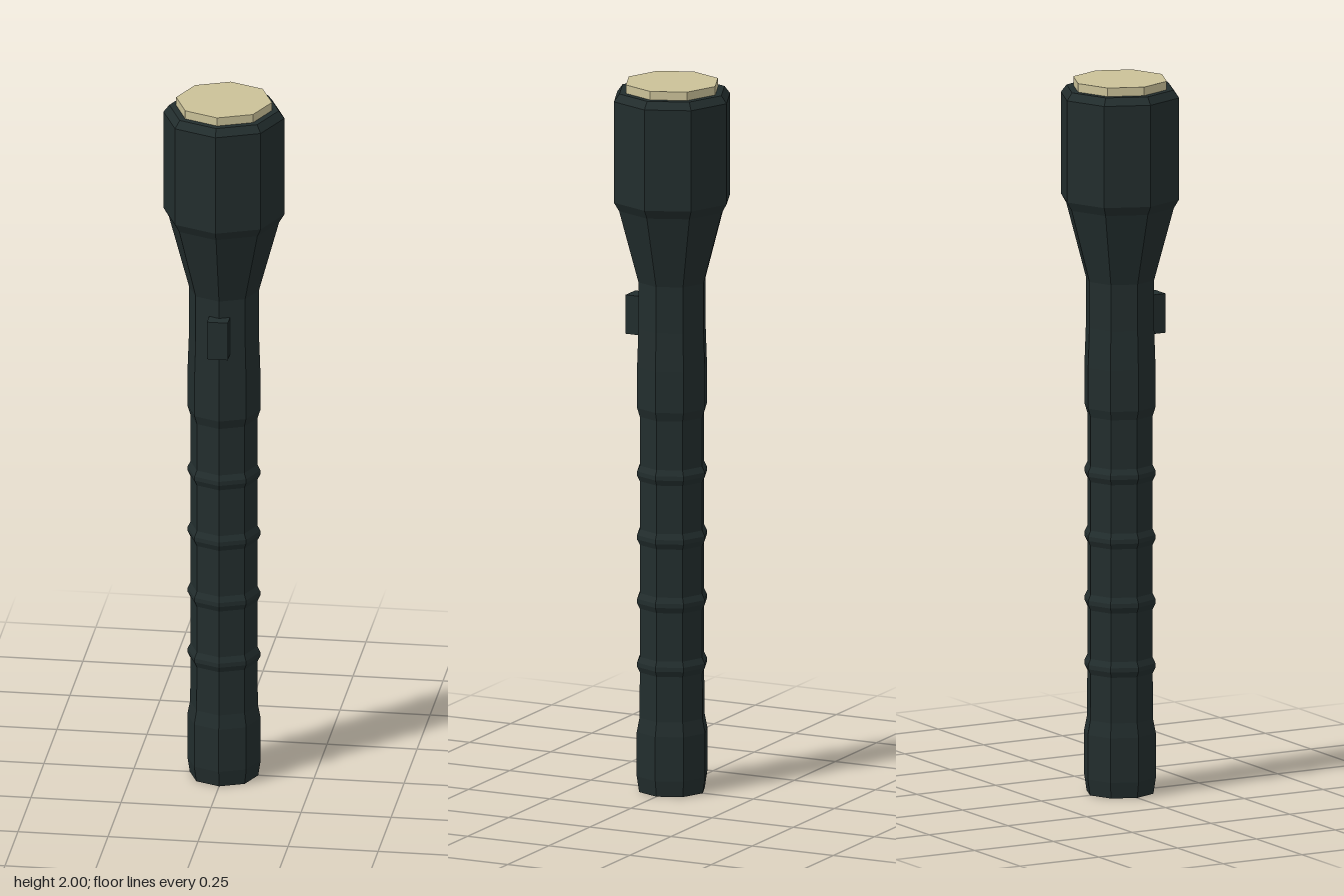
import * as THREE from 'three';

const SIDES = 8;

export function createModel() {
  const group = new THREE.Group();
  group.name = 'flashlight';

  const casing = new THREE.MeshStandardMaterial({ color: 0x222d2d, flatShading: true });
  casing.name = 'dark casing';
  const glass = new THREE.MeshStandardMaterial({ color: 0xcac198, flatShading: true });
  glass.name = 'pale lens';

  const add = (name, geometry, material) => {
    const mesh = new THREE.Mesh(geometry, material);
    mesh.name = name;
    group.add(mesh);
    return mesh;
  };
  // Octagonal turned part from [radius, height] pairs, bottom to top
  const turned = (name, profile, material) =>
    add(name, new THREE.LatheGeometry(profile.map(([r, y]) => new THREE.Vector2(r, y)), SIDES), material);

  // Handle: end cap, grip with raised rings, smooth collar below the head
  const handle = [[0, 0], [0.095, 0], [0.102, 0.045], [0.102, 0.17], [0.094, 0.21]];
  for (let i = 0; i < 4; i++) {
    const y = 0.36 + i * 0.18;
    handle.push([0.093, y - 0.022], [0.101, y - 0.006], [0.101, y + 0.006], [0.093, y + 0.022]);
  }
  handle.push([0.093, 1.06], [0.101, 1.085], [0.101, 1.2], [0.097, 1.31], [0.097, 1.44]);
  turned('handle', handle, casing);

  // Flared head with bevelled rims
  turned('head', [[0.097, 1.44], [0.153, 1.645], [0.168, 1.67], [0.168, 1.955], [0.152, 1.976], [0, 1.976]], casing);

  // Lens disc standing just proud of the head
  turned('lens', [[0.133, 1.976], [0.133, 2], [0, 2]], glass);

  // Switch on the front
  add('switchButton', new THREE.BoxGeometry(0.058, 0.11, 0.07), casing).position.set(0, 1.335, 0.093);

  return group;
}
